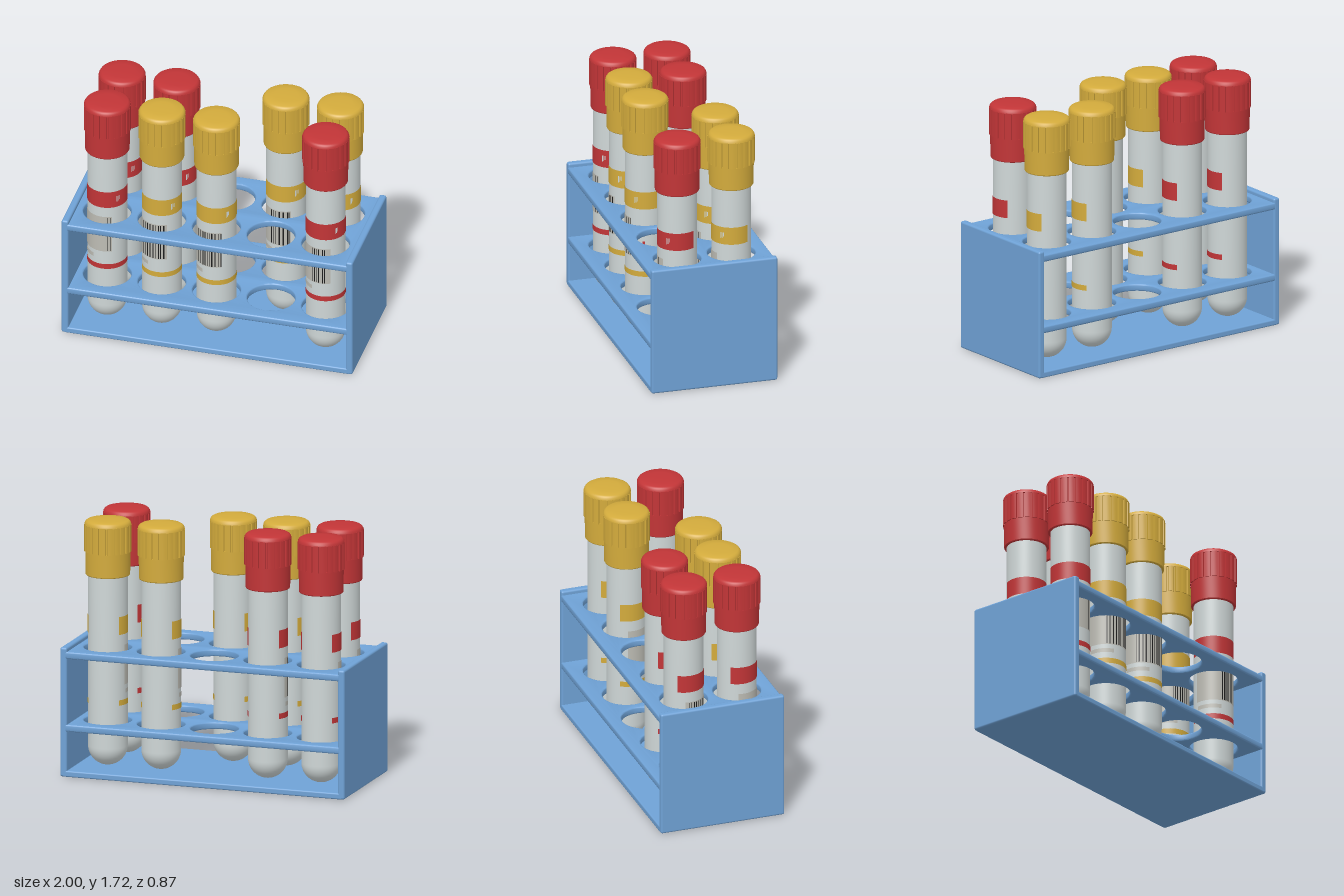
import * as THREE from 'three';
import { toCreasedNormals } from 'three/addons/utils/BufferGeometryUtils.js';
import { RoundedBoxGeometry } from 'three/addons/geometries/RoundedBoxGeometry.js';

const mat = (name, color) => {
  const m = new THREE.MeshStandardMaterial({ color });
  m.name = name;
  return m;
};
const add = (parent, name, geometry, material, x = 0, y = 0, z = 0) => {
  const m = new THREE.Mesh(geometry, material);
  m.name = name;
  m.position.set(x, y, z);
  parent.add(m);
  return m;
};
const v2 = (x, y) => new THREE.Vector2(x, y);
const lathe = pts => toCreasedNormals(new THREE.LatheGeometry(pts, 64), 0.5);

const COLUMNS = [-0.75, -0.375, 0, 0.375, 0.75];
const ROW_Z = 0.187;

// Curved patch wrapped on a tube; angles in degrees, 0 = front, + = towards +x
function patch(a0, a1, y0, y1, r) {
  const g = new THREE.CylinderGeometry(r, r, y1 - y0, Math.max(1, Math.ceil((a1 - a0) / 5)), 1, true,
    THREE.MathUtils.degToRad(a0), THREE.MathUtils.degToRad(a1 - a0));
  return g.translate(0, (y0 + y1) / 2, 0);
}

// Shelf with ten round holes and softened edges
function shelfGeometry() {
  const b = 0.01, w = 0.96 - b, d = 0.435 - b;
  const s = new THREE.Shape([v2(-w, -d), v2(w, -d), v2(w, d), v2(-w, d)]);
  for (const x of COLUMNS) for (const z of [-ROW_Z, ROW_Z]) {
    s.holes.push(new THREE.Path().absarc(x, z, 0.16 + b, 0, Math.PI * 2, true));
  }
  const g = new THREE.ExtrudeGeometry(s, {
    depth: 0.048 - 2 * b, bevelEnabled: true, bevelSize: b, bevelThickness: b, bevelSegments: 3, curveSegments: 32,
  });
  return toCreasedNormals(g.rotateX(-Math.PI / 2).translate(0, b, 0), 0.6);
}

// Ribbed upper ring of the cap
function ribGeometry() {
  const n = 20, pts = [];
  for (let i = 0; i < n; i++) {
    for (const [t, r] of [[0, 0.156], [0.25, 0.157], [0.5, 0.157], [0.72, 0.156], [0.76, 0.146], [0.96, 0.146]]) {
      const a = (i + t) / n * Math.PI * 2;
      pts.push(v2(r * Math.cos(a), r * Math.sin(a)));
    }
  }
  const g = new THREE.ExtrudeGeometry(new THREE.Shape(pts), { depth: 0.183, bevelEnabled: false });
  return toCreasedNormals(g.rotateX(-Math.PI / 2), 0.5);
}

export function createModel() {
  const blue = mat('rack blue', 0x6fa2d6);
  const red = mat('red', 0xc23537);
  const yellow = mat('yellow', 0xd3ab3c);
  const glass = mat('tube grey white', 0xd0d8d8);
  const paper = mat('label grey', 0xbdbcb4);
  const ink = mat('ink black', 0x1c1c1c);

  const model = new THREE.Group();
  model.name = 'testTubeRack';

  // Rack: base, two end plates, two holed shelves
  const rack = new THREE.Group();
  rack.name = 'rack';
  model.add(rack);
  add(rack, 'base', new RoundedBoxGeometry(1.97, 0.042, 0.87, 3, 0.01), blue, 0, 0.021, 0);
  const endPlate = new RoundedBoxGeometry(0.048, 0.88, 0.87, 3, 0.014);
  for (const side of [-1, 1]) add(rack, 'endPlate', endPlate, blue, side * 0.976, 0.44, 0);
  const shelf = shelfGeometry();
  add(rack, 'lowerShelf', shelf, blue, 0, 0.308, 0);
  add(rack, 'upperShelf', shelf, blue, 0, 0.804, 0);

  // Round-bottomed tube body
  const R = 0.132, body = [];
  for (let i = 0; i <= 14; i++) {
    const a = i / 14 * Math.PI / 2;
    body.push(v2(R * Math.sin(a), 0.05 + R - R * Math.cos(a)));
  }
  body.push(v2(R, 1.4));
  const bodyGeo = lathe(body);

  // Cap pieces
  const skirtGeo = lathe([v2(0.12, 1.345), v2(0.145, 1.345), v2(0.148, 1.35), v2(0.15, 1.508), v2(0.12, 1.508)]);
  const ribGeo = ribGeometry();
  const crownGeo = lathe([v2(0.1, 1.685), v2(0.156, 1.685), v2(0.154, 1.697), v2(0.147, 1.708),
    v2(0.136, 1.715), v2(0.08, 1.719), v2(0, 1.721)]);

  // Label pieces shared by all tubes
  const bandGeo = patch(-128, 128, 0.955, 1.077, R + 0.002);
  const stripeGeo = patch(-128, 128, 0.473, 0.51, R + 0.002);
  const panelGeo = patch(-105, 29, 0.61, 0.882, R + 0.002);
  const tagGeo = patch(-100, -28, 0.552, 0.58, R + 0.002);

  let seed = 7;
  const rand = () => (seed = (seed * 16807) % 2147483647) / 2147483647;

  function tube(x, z, colour, barStart, barEnd) {
    const t = new THREE.Group();
    t.name = 'tube';
    t.position.set(x, 0, z);
    model.add(t);
    add(t, 'tubeBody', bodyGeo, glass);
    add(t, 'capSkirt', skirtGeo, colour);
    add(t, 'capRibs', ribGeo, colour, 0, 1.505, 0);
    add(t, 'capTop', crownGeo, colour);
    add(t, 'labelBand', bandGeo, colour);
    add(t, 'labelStripe', stripeGeo, colour);
    add(t, 'labelPanel', panelGeo, paper);
    add(t, 'labelTag', tagGeo, paper);
    // Pale ticks on the band and small red marks beside the panel
    for (const [a, h] of [[42, 0.045], [46, 0.04], [50, 0.03]]) {
      add(t, 'bandTick', patch(a, a + 2.4, 1.04 - h, 1.04, R + 0.0035), glass);
    }
    add(t, 'redMark', patch(64, 70, 0.765, 0.8, R + 0.002), red);
    add(t, 'redMark', patch(66, 74, 0.705, 0.725, R + 0.002), red);
    // Bars of uneven width
    for (let a = barStart; a < barEnd - 1;) {
      const w = 1.2 + rand() * 3;
      add(t, 'codeBar', patch(a, Math.min(a + w, barEnd), 0.615, 0.877, R + 0.0035), ink);
      a += w + 2 + rand() * 7;
    }
  }

  // Front row
  tube(-0.75, ROW_Z, red, 14, 29);
  tube(-0.375, ROW_Z, yellow, -50, 29);
  tube(0, ROW_Z, yellow, -67, 29);
  tube(0.75, ROW_Z, red, -26, 14);
  // Back row
  tube(-0.75, -ROW_Z, red, -95, -40);
  tube(-0.375, -ROW_Z, red, -90, -20);
  tube(0.375, -ROW_Z, yellow, -31, 29);
  tube(0.75, -ROW_Z, yellow, -40, 20);

  return model;
}
